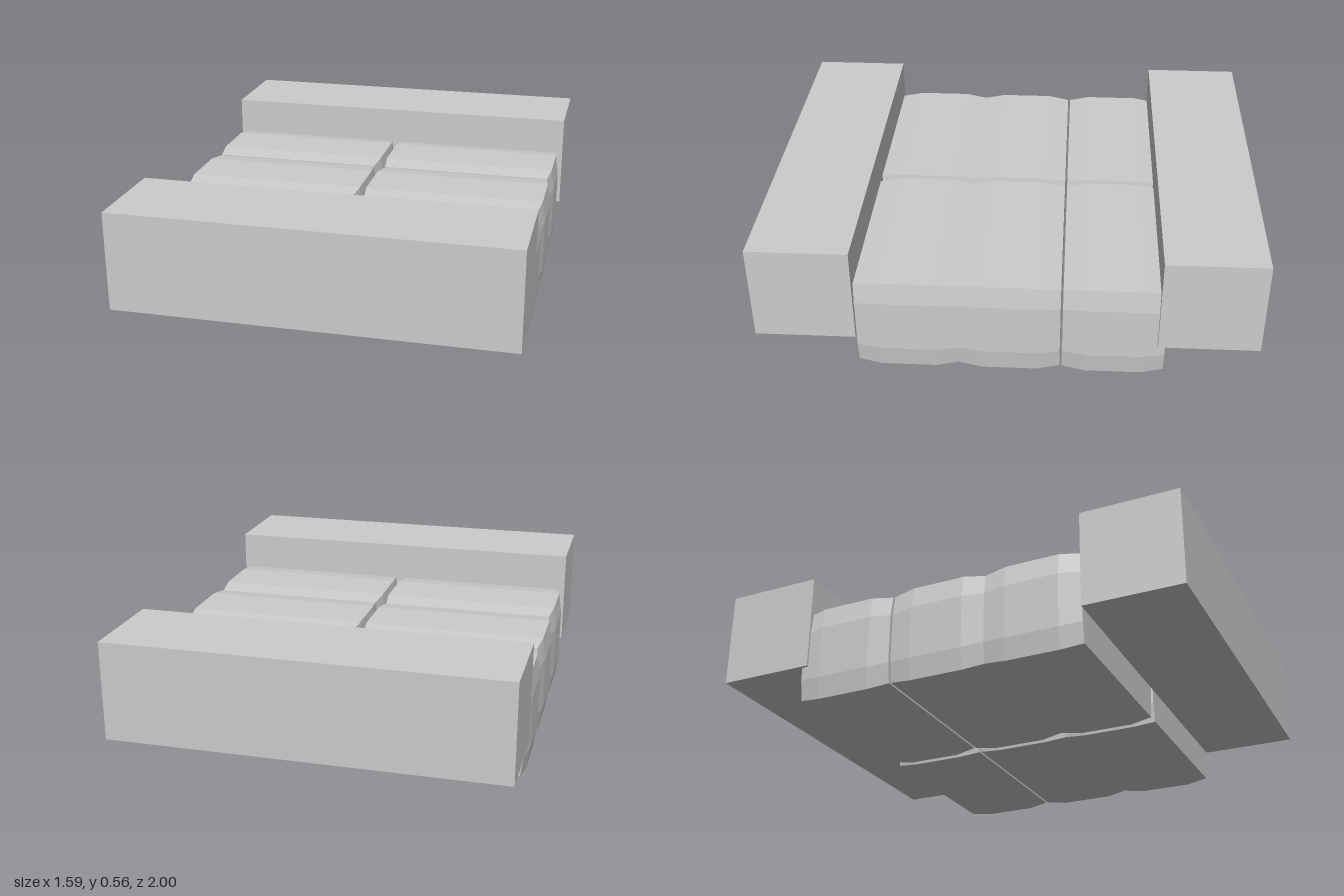
import * as THREE from 'three';

const material = new THREE.MeshStandardMaterial({ color: 0xcccccc, flatShading: true });

// Block whose top, bottom and sides taper slightly toward the ends
function pillowGeometry() {
  const geo = new THREE.BoxGeometry(2, 2, 2, 3, 3, 3);
  const pos = geo.attributes.position;
  const remap = (v) => (Math.abs(v) > 0.9 ? Math.sign(v) : Math.sign(v) * 0.55);
  for (let i = 0; i < pos.count; i++) {
    const x = remap(pos.getX(i)), y = remap(pos.getY(i)), z = remap(pos.getZ(i));
    const endZ = Math.abs(z) === 1, endY = Math.abs(y) === 1;
    const halfWidth = 0.394 - (endY ? 0.013 : 0) - (endZ ? 0.012 : 0);
    const halfHeight = 0.2025 - (endZ ? 0.012 : 0);
    pos.setXYZ(i, x * halfWidth, y * halfHeight, z * 0.203);
  }
  geo.computeVertexNormals();
  return geo;
}

export function createModel() {
  const model = new THREE.Group();

  // Long beams at the front and back
  const beamGeo = new THREE.BoxGeometry(1.59, 0.402, 0.402);
  for (const side of [1, -1]) {
    const beam = new THREE.Mesh(beamGeo, material);
    beam.name = side > 0 ? 'frontBeam' : 'backBeam';
    beam.position.set(0, 0.355, side * 0.799);
    model.add(beam);
  }

  // Two columns of three pillow blocks between the beams
  const blocks = new THREE.Group();
  blocks.name = 'pillowBlocks';
  const blockGeo = pillowGeometry();
  [0.395, -0.01, -0.425].forEach((z, row) => {
    [['right', -0.4], ['left', 0.39]].forEach(([side, x]) => {
      const block = new THREE.Mesh(blockGeo, material);
      block.name = `${side}Block${row + 1}`;
      block.position.set(x, 0.2025, z);
      blocks.add(block);
    });
  });
  model.add(blocks);
  return model;
}
